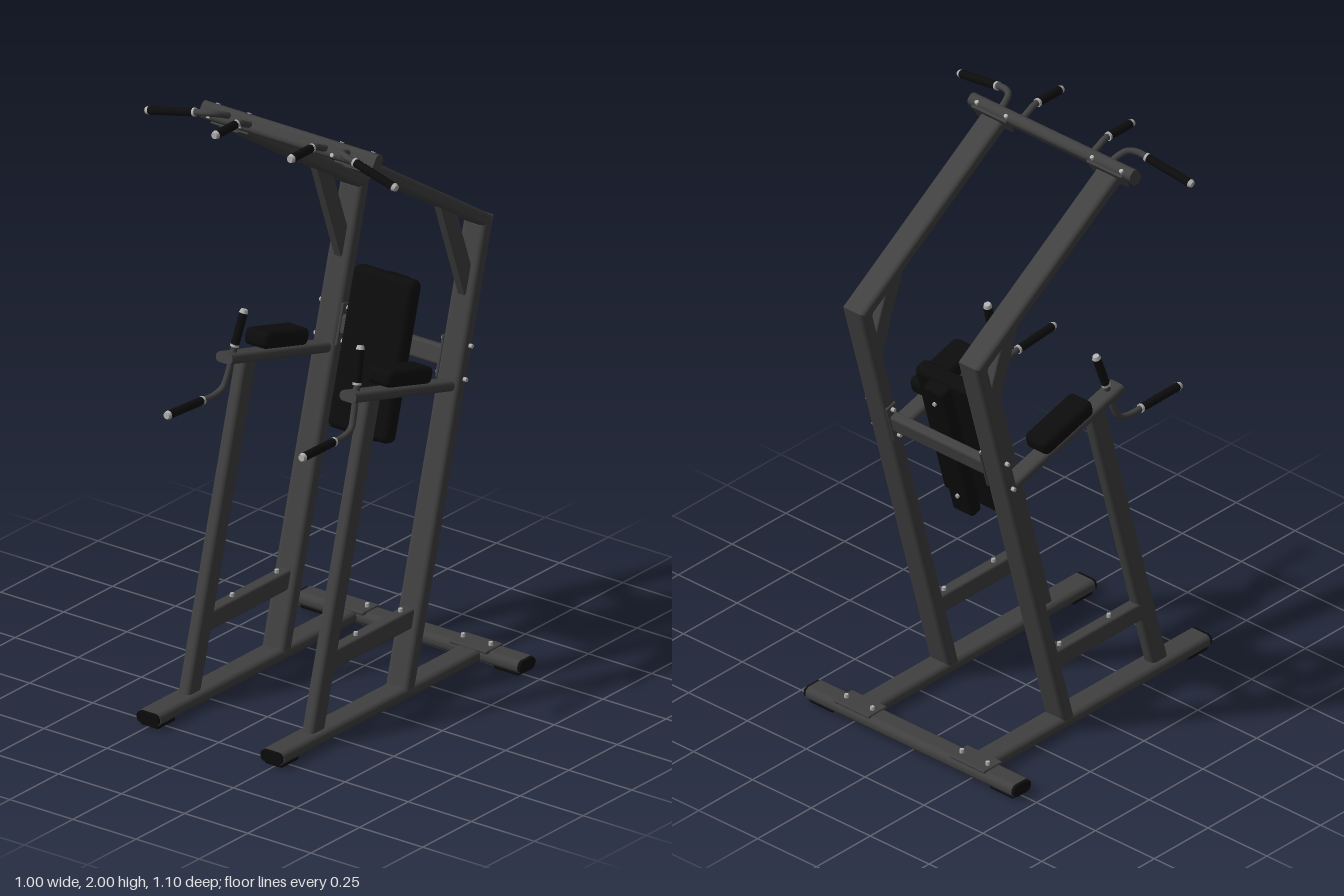
import * as THREE from 'three';
import { RoundedBoxGeometry } from 'three/addons/geometries/RoundedBoxGeometry.js';

const mat = (color) => new THREE.MeshStandardMaterial({ color });
const V = (x, y, z) => new THREE.Vector3(x, y, z);

export function createModel() {
  const model = new THREE.Group();
  const frame = mat(0x404040), black = mat(0x0c0c0c), metal = mat(0xb0b0b0);
  const TILT = -0.27; // lean shared by uprights, back pad and arms

  function add(name, geo, material, pos, parent = model) {
    const m = new THREE.Mesh(geo, material);
    m.name = name;
    if (pos) m.position.copy(pos);
    parent.add(m);
    return m;
  }

  // Rounded tube from a to b; ends may be cut by planes with the given normals
  function bar(name, a, b, w, t, { roll = 0, r = 0.45, cutA, cutB, material = frame } = {}) {
    const len = a.distanceTo(b), R = Math.min(w, t) * r, x = w / 2, y = t / 2;
    const s = new THREE.Shape();
    s.moveTo(-x + R, -y).lineTo(x - R, -y).absarc(x - R, -y + R, R, -Math.PI / 2, 0);
    s.lineTo(x, y - R).absarc(x - R, y - R, R, 0, Math.PI / 2);
    s.lineTo(-x + R, y).absarc(-x + R, y - R, R, Math.PI / 2, Math.PI);
    s.lineTo(-x, -y + R).absarc(-x + R, -y + R, R, Math.PI, Math.PI * 1.5);
    const g = new THREE.ExtrudeGeometry(s, { depth: len, bevelEnabled: false, curveSegments: 6 });
    const m = add(name, g, material, a);
    m.lookAt(b);
    m.rotateZ(roll);
    const inv = m.quaternion.clone().invert(), p = g.attributes.position;
    [cutA, cutB].forEach((cut, end) => {
      if (!cut) return;
      const n = cut.clone().applyQuaternion(inv);
      for (let i = 0; i < p.count; i++) {
        if ((p.getZ(i) > len / 2) === (end === 1)) {
          p.setZ(i, end * len - (n.x * p.getX(i) + n.y * p.getY(i)) / n.z);
        }
      }
    });
    g.computeVertexNormals();
    return m;
  }

  const aim = (m, dir) => m.quaternion.setFromUnitVectors(V(0, 1, 0), dir.clone().normalize());

  function bolt(pos, dir) {
    const m = add('bolt', new THREE.CylinderGeometry(0.007, 0.008, 0.016, 8), metal, pos);
    aim(m, dir);
  }

  // Ribbed rubber grip with metal collar and end cap
  function grip(a, b) {
    const len = a.distanceTo(b), g = new THREE.Group(), ribs = 12;
    const profile = [new THREE.Vector2(0, 0)];
    for (let i = 0; i <= ribs * 2; i++) {
      profile.push(new THREE.Vector2(i % 2 ? 0.0145 : 0.013, (i / (ribs * 2)) * len));
    }
    profile.push(new THREE.Vector2(0, len));
    g.name = 'handGrip';
    add('rubber', new THREE.LatheGeometry(profile, 16), black, null, g);
    add('collar', new THREE.CylinderGeometry(0.0145, 0.0145, 0.008, 16), metal, V(0, -0.002, 0), g);
    add('endCap', new THREE.CylinderGeometry(0.011, 0.0145, 0.012, 16), metal, V(0, len + 0.003, 0), g);
    g.position.copy(a);
    aim(g, b.clone().sub(a));
    model.add(g);
  }

  function rod(name, pts) {
    const c = new THREE.CatmullRomCurve3(pts, false, 'centripetal');
    add(name, new THREE.TubeGeometry(c, 32, 0.011, 10), frame);
  }

  const up = V(0, 1, 0), X = 0.245;
  for (const s of [-1, 1]) {
    const x = s * X;

    // Floor rail with front foot
    bar('baseRail', V(x, 0.032, -0.47), V(x, 0.032, 0.54), 0.09, 0.042);
    bar('railEndCap', V(x, 0.032, 0.538), V(x, 0.032, 0.55), 0.085, 0.04, { material: black });
    add('frontFoot', new RoundedBoxGeometry(0.07, 0.016, 0.09, 2, 0.005), black, V(x, 0.008, 0.495));

    // Leaning upright and overhead beam, mitred at the elbow
    const foot = V(x, 0.045, -0.114), elbow = V(x, 1.51, -0.517), tip = V(x, 1.925, 0.12);
    const d1 = elbow.clone().sub(foot).normalize(), d2 = tip.clone().sub(elbow).normalize();
    const mitre = d1.clone().add(d2).normalize();
    bar('rearUpright', foot, elbow, 0.09, 0.05, { cutA: up, cutB: mitre, r: 0.35 });
    bar('overheadBeam', elbow, tip, 0.09, 0.045, { cutA: mitre, r: 0.35 });
    bar('elbowBrace', V(x, 1.32, -0.445), V(x, 1.63, -0.335), 0.034, 0.062,
      { cutA: V(0, d1.z, -d1.y), cutB: V(0, d2.z, -d2.y), r: 0.2 });

    // Front post, low tie and sloping arm
    bar('frontPost', V(x, 0.045, 0.335), V(x, 1.1, 0.042), 0.048, 0.07,
      { cutA: up, cutB: V(0, 0.963, -0.268), r: 0.35 });
    bar('lowerTie', V(x, 0.267, 0.265), V(x, 0.267, -0.17), 0.046, 0.065, { r: 0.2 });
    for (const z of [0.115, -0.115]) bolt(V(x, 0.303, z), up);
    bar('armBeam', V(x, 1.132, 0.155), V(x, 0.988, -0.38), 0.065, 0.034);

    // Arm cushion, narrowing towards its ends
    const cushion = new RoundedBoxGeometry(0.106, 0.056, 0.235, 5, 0.02);
    const p = cushion.attributes.position;
    for (let i = 0; i < p.count; i++) {
      p.setX(i, p.getX(i) * (1 - 0.16 * (p.getZ(i) / 0.117) ** 4));
    }
    add('armPad', cushion, black, V(x, 1.113, -0.115)).rotation.x = TILT;

    // Dip handle: forward grip and upright grip on one bent rod
    rod('dipHandle', [V(s * 0.262, 1.015, 0.27), V(s * 0.258, 1.012, 0.19), V(s * 0.255, 1.025, 0.152),
      V(s * 0.25, 1.06, 0.133), V(s * 0.242, 1.16, 0.104), V(s * 0.24, 1.18, 0.098)]);
    grip(V(s * 0.261, 1.014, 0.25), V(s * 0.267, 1.021, 0.415));
    grip(V(s * 0.242, 1.16, 0.104), V(s * 0.231, 1.265, 0.073));

    // Outward pull-up handle
    rod('wideHandle', [V(s * 0.235, 1.955, 0.13), V(s * 0.24, 1.972, 0.165), V(s * 0.255, 1.982, 0.195),
      V(s * 0.285, 1.982, 0.21), V(s * 0.33, 1.974, 0.214)]);
    grip(V(s * 0.32, 1.976, 0.213), V(s * 0.487, 1.943, 0.23));

    // Forward pull-up handle
    rod('narrowHandle', [V(s * 0.15, 1.95, 0.13), V(s * 0.15, 1.966, 0.17), V(s * 0.15, 1.98, 0.2),
      V(s * 0.15, 1.982, 0.24)]);
    grip(V(s * 0.15, 1.982, 0.22), V(s * 0.15, 1.982, 0.322));

    // Plate joining overhead beam to pull-up bar
    const plate = add('barPlate', new RoundedBoxGeometry(0.15, 0.062, 0.01, 2, 0.004), frame, V(x, 1.933, 0.111));
    plate.rotation.x = -0.58;
    for (const dx of [-0.062, 0.062]) {
      bolt(V(x + dx, 1.965, 0.108), V(0, 0.85, -0.5));
      bolt(V(x + dx, 1.942, 0.152), V(0, 0.55, 0.84));
    }

    // Bracket holding the rail to the rear floor bar
    add('baseBracket', new RoundedBoxGeometry(0.15, 0.012, 0.085, 2, 0.005), frame, V(x, 0.054, -0.503));
    for (const dx of [-0.055, 0.055]) bolt(V(x + dx, 0.064, -0.508), up);
    add('rearFoot', new RoundedBoxGeometry(0.1, 0.016, 0.06, 2, 0.005), black, V(s * 0.383, 0.008, -0.507));
    bar('floorBarCap', V(s * 0.436, 0.032, -0.507), V(s * 0.447, 0.032, -0.507), 0.078, 0.04, { material: black });

    // Bolts and end plate for the middle cross tube
    add('crossPlate', new RoundedBoxGeometry(0.01, 0.14, 0.045, 2, 0.004), frame,
      V(s * 0.199, 1.067, -0.396)).rotation.x = TILT;
    for (const [y, z] of [[1.12, -0.412], [1.015, -0.383]]) {
      bolt(V(s * 0.294, y, z), V(s, 0, 0));
      bolt(V(s * 0.19, y, z), V(-s, 0, 0));
    }
  }

  // Cross members
  bar('rearFloorBar', V(-0.437, 0.032, -0.507), V(0.437, 0.032, -0.507), 0.084, 0.045);
  bar('middleCrossTube', V(-0.21, 1.068, -0.396), V(0.21, 1.068, -0.396), 0.065, 0.036, { roll: 1.3, r: 0.3 });
  bar('pullUpBar', V(-0.345, 1.95, 0.13), V(0.345, 1.95, 0.13), 0.058, 0.042, { roll: 0.99 });

  // Back cushion with its mounting channel
  const back = new THREE.Group();
  back.name = 'backRest';
  back.position.set(0, 1.053, -0.3);
  back.rotation.x = TILT;
  add('backPad', new RoundedBoxGeometry(0.242, 0.53, 0.06, 4, 0.022), black, null, back);
  add('mountingChannel', new RoundedBoxGeometry(0.088, 0.535, 0.046, 3, 0.012), black, V(0, -0.012, -0.05), back);
  for (const y of [-0.2, 0.2]) {
    add('bolt', new THREE.CylinderGeometry(0.007, 0.007, 0.012, 8), metal, V(0, y, -0.075), back).rotation.x = Math.PI / 2;
  }
  model.add(back);

  return model;
}
